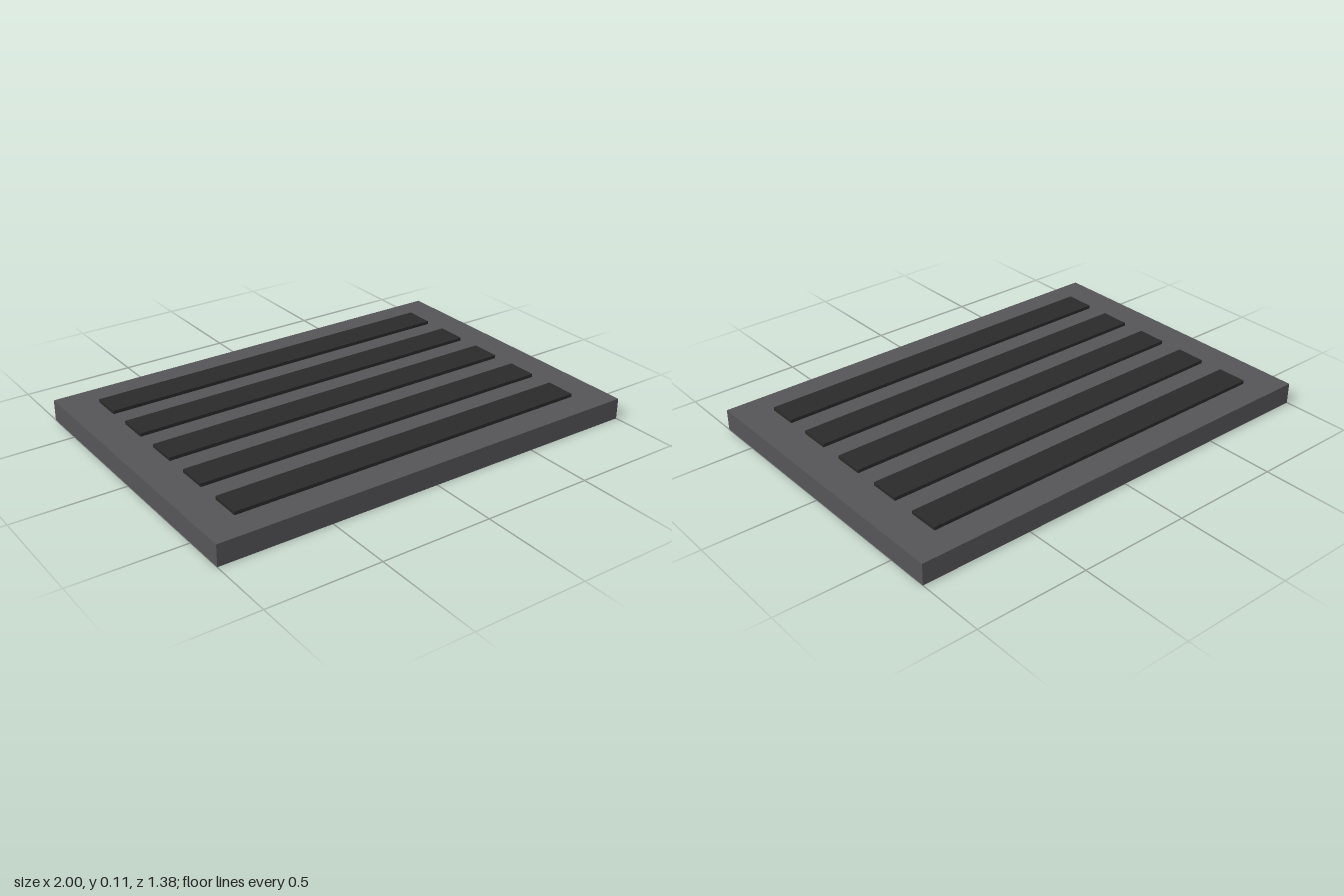
import * as THREE from 'three';

export function createModel() {
  const model = new THREE.Group();
  const plateMaterial = new THREE.MeshStandardMaterial({ color: 0x555558 });
  const slatMaterial = new THREE.MeshStandardMaterial({ color: 0x2a2a2a });

  // Adds a box that spans the heights bottom to top
  const addBox = (name, width, depth, bottom, top, z, material) => {
    const box = new THREE.Mesh(new THREE.BoxGeometry(width, top - bottom, depth), material);
    box.name = name;
    box.position.set(0, (bottom + top) / 2, z);
    model.add(box);
  };

  // Flat base plate
  addBox('basePlate', 2, 1.385, 0, 0.095, 0, plateMaterial);

  // Five parallel slats, sunk into the plate and standing slightly proud of it
  for (let i = -2; i <= 2; i++) {
    addBox(`slat${i + 3}`, 1.695, 0.137, 0.005, 0.11, i * 0.247, slatMaterial);
  }

  return model;
}
